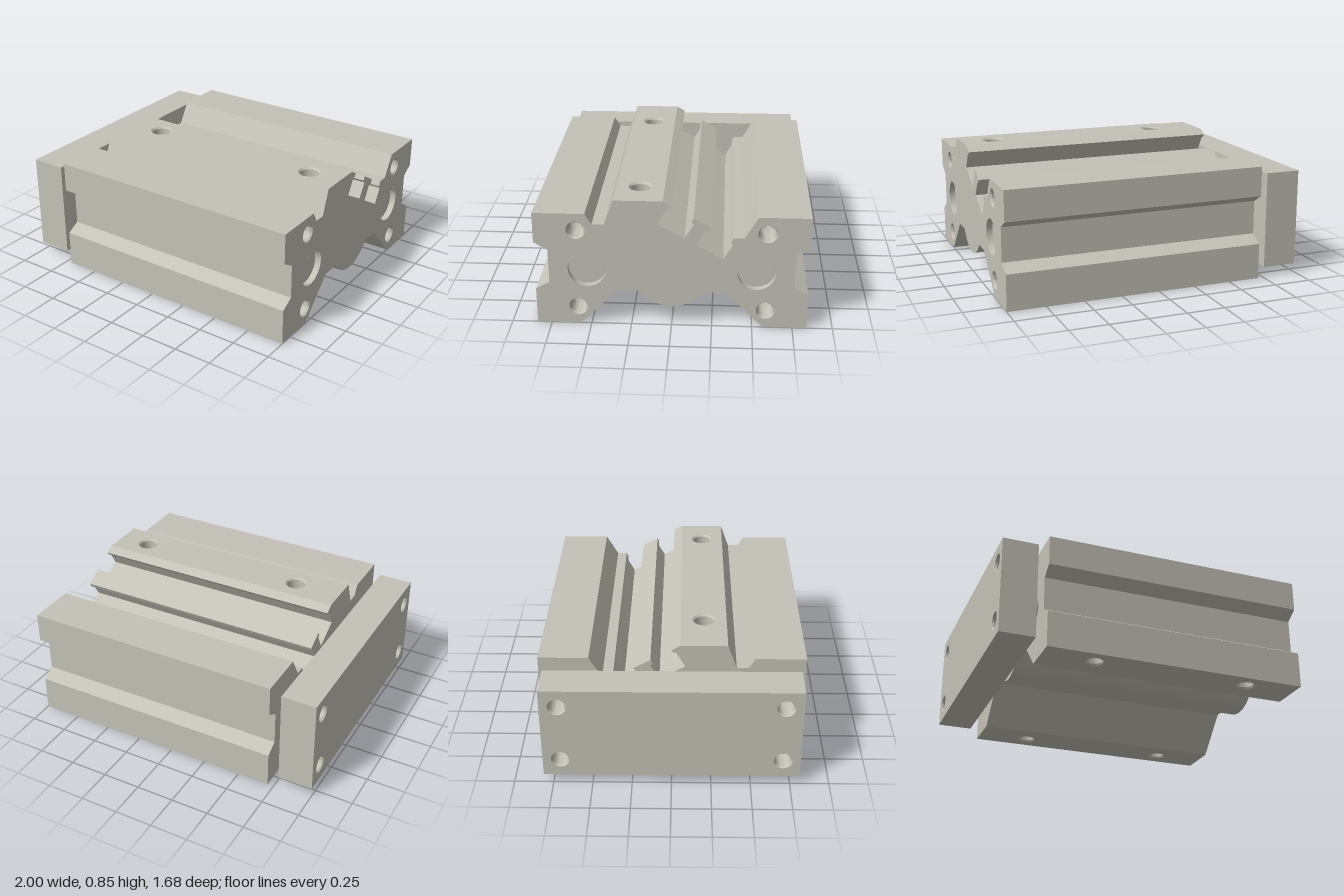
import * as THREE from 'three';
import { mergeGeometries, toCreasedNormals } from 'three/addons/utils/BufferGeometryUtils.js';

const V2 = (p) => new THREE.Vector2(p[0], p[1]);
const V3 = (x, y, z) => new THREE.Vector3(x, y, z);

// Recess profiles: [radius, depth]
const SCREW = [[0.058, 0], [0.051, 0.012], [0.051, 0.13], [0.001, 0.16]];
const PORT = [[0.072, 0], [0.061, 0.012], [0.061, 0.08], [0.001, 0.08]];
const BORE = [[0.117, 0], [0.117, 0.04], [0.001, 0.04]];

function circle(x, y, r) {
  return new THREE.Path().absarc(x, y, r, 0, Math.PI * 2, false);
}

// Blind hole lining, sunk from `pos` against the outward `normal`
function recess(profile, pos, normal) {
  const pts = profile.map(([r, d]) => new THREE.Vector2(r, -d));
  const geo = toCreasedNormals(new THREE.LatheGeometry(pts, 32), 0.5);
  const q = new THREE.Quaternion().setFromUnitVectors(V3(0, 1, 0), normal);
  return geo.applyMatrix4(new THREE.Matrix4().compose(pos, q, V3(1, 1, 1)));
}

// Prism along x from a counter-clockwise outline in (u = -z, v = y).
// Holes: end holes are {u, v, end: 1 | -1, cut}, wall holes are {u, v, x, cut}.
function prism(outline, x0, x1, holes) {
  const parts = [];
  const linings = [];

  // End faces
  for (const end of [1, -1]) {
    const shape = new THREE.Shape(outline.map(([u, v]) => new THREE.Vector2(u * end, v)));
    for (const h of holes.filter((o) => o.end === end)) {
      shape.holes.push(circle(h.u * end, h.v, h.cut[0][0]));
      linings.push(recess(h.cut, V3(h.u, h.v, end > 0 ? x1 : x0), V3(0, 0, end)));
    }
    const cap = new THREE.ShapeGeometry(shape, 32);
    if (end < 0) cap.rotateY(Math.PI);
    parts.push(cap.translate(0, 0, end > 0 ? x1 : x0));
  }

  // One wall for each edge of the outline
  outline.forEach((p, i) => {
    const a = V2(p);
    const d = V2(outline[(i + 1) % outline.length]).sub(a);
    const len = d.length();
    d.divideScalar(len);
    const normal = V3(d.y, -d.x, 0);
    const wall = new THREE.Shape([V2([0, x0]), V2([len, x0]), V2([len, x1]), V2([0, x1])]);
    for (const h of holes.filter((o) => !o.end)) {
      const off = V2([h.u, h.v]).sub(a);
      const s = off.dot(d);
      if (Math.abs(off.cross(d)) > 0.001 || s < 0 || s > len) continue;
      wall.holes.push(circle(s, h.x, h.cut[0][0]));
      linings.push(recess(h.cut, V3(h.u, h.v, h.x), normal));
    }
    const m = new THREE.Matrix4().makeBasis(V3(d.x, d.y, 0), V3(0, 0, 1), normal);
    m.setPosition(a.x, a.y, 0);
    parts.push(new THREE.ShapeGeometry(wall, 32).applyMatrix4(m));
  });

  const shell = toCreasedNormals(mergeGeometries(parts.map((g) => g.toNonIndexed())), 0.3);
  return {
    shell: shell.rotateY(Math.PI / 2),
    linings: mergeGeometries(linings).rotateY(Math.PI / 2),
  };
}

export function createModel() {
  const model = new THREE.Group();
  const metal = new THREE.MeshStandardMaterial({ color: 0xc4c2b7, side: THREE.DoubleSide });
  const add = (name, geo) => {
    const mesh = new THREE.Mesh(geo, metal);
    metal.name = 'warm grey metal';
    mesh.name = name;
    model.add(mesh);
    return mesh;
  };

  // Body outline: underside with the rounded belly
  const foot = [[-0.84, 0], [-0.567, 0], [-0.333, 0.239]];
  const belly = [];
  for (let i = 0; i <= 28; i++) {
    const t = (i / 28 * 2 - 1) * 0.961;
    belly.push([0.244 * Math.sin(t), 0.379 - 0.244 * Math.cos(t)]);
  }
  // Side with its sensor groove, bottom to top
  const side = [[0.84, 0.235], [0.755, 0.284], [0.755, 0.505], [0.84, 0.557], [0.84, 0.752]];
  const mirror = (pts) => pts.map(([u, v]) => [-u, v]).reverse();
  // Top, running from the back towards the front, with two slanted slots
  const top = [
    [0.522, 0.752], [0.44, 0.612], [0.374, 0.612], [0.36, 0.582], [0.37, 0.563],
    [0.315, 0.468], [0.153, 0.56], [0.207, 0.653], [0.23, 0.653], [0.243, 0.68],
    [0.135, 0.74], [0.122, 0.716], [0.135, 0.698], [0.08, 0.604], [-0.083, 0.694],
    [-0.027, 0.793], [-0.01, 0.793], [0.005, 0.813], [-0.05, 0.845], [-0.347, 0.845],
    [-0.405, 0.685], [-0.48, 0.685], [-0.52, 0.752],
  ];
  const outline = [...foot, ...belly, ...mirror(foot), ...side, ...top, ...mirror(side)];

  // Body holes: screw holes, guide bores, top ports and foot holes
  const bodyHoles = [-0.39, 0.78].map((x) => ({ u: -0.2, v: 0.845, x, cut: PORT }));
  for (const s of [-1, 1]) {
    bodyHoles.push({ u: s * 0.52, v: 0.38, end: 1, cut: BORE });
    for (const v of [0.118, 0.643]) bodyHoles.push({ u: s * 0.58, v, end: 1, cut: SCREW });
    for (const x of [-0.37, 0.66]) bodyHoles.push({ u: s * 0.725, v: 0, x, cut: SCREW });
  }
  const body = prism(outline, -0.71, 1, bodyHoles);
  add('body', body.shell);
  add('bodyHoles', body.linings);

  // End plate with four screw holes
  const plateHoles = [];
  for (const u of [-0.7, 0.7]) {
    for (const v of [0.18, 0.58]) plateHoles.push({ u, v, end: -1, cut: SCREW });
  }
  const plate = prism(
    [[-0.81, 0.06], [0.81, 0.06], [0.81, 0.697], [-0.81, 0.697]], -1, -0.77, plateHoles);
  add('endPlate', plate.shell);
  add('endPlateHoles', plate.linings);

  // Guide rods and piston rod between plate and body
  for (const [name, z, r] of [['frontGuideRod', 0.52, 0.117], ['pistonRod', 0, 0.085], ['backGuideRod', -0.52, 0.117]]) {
    const rod = add(name, new THREE.CylinderGeometry(r, r, 0.08, 40).rotateZ(Math.PI / 2));
    rod.position.set(-0.74, 0.38, z);
  }
  return model;
}
